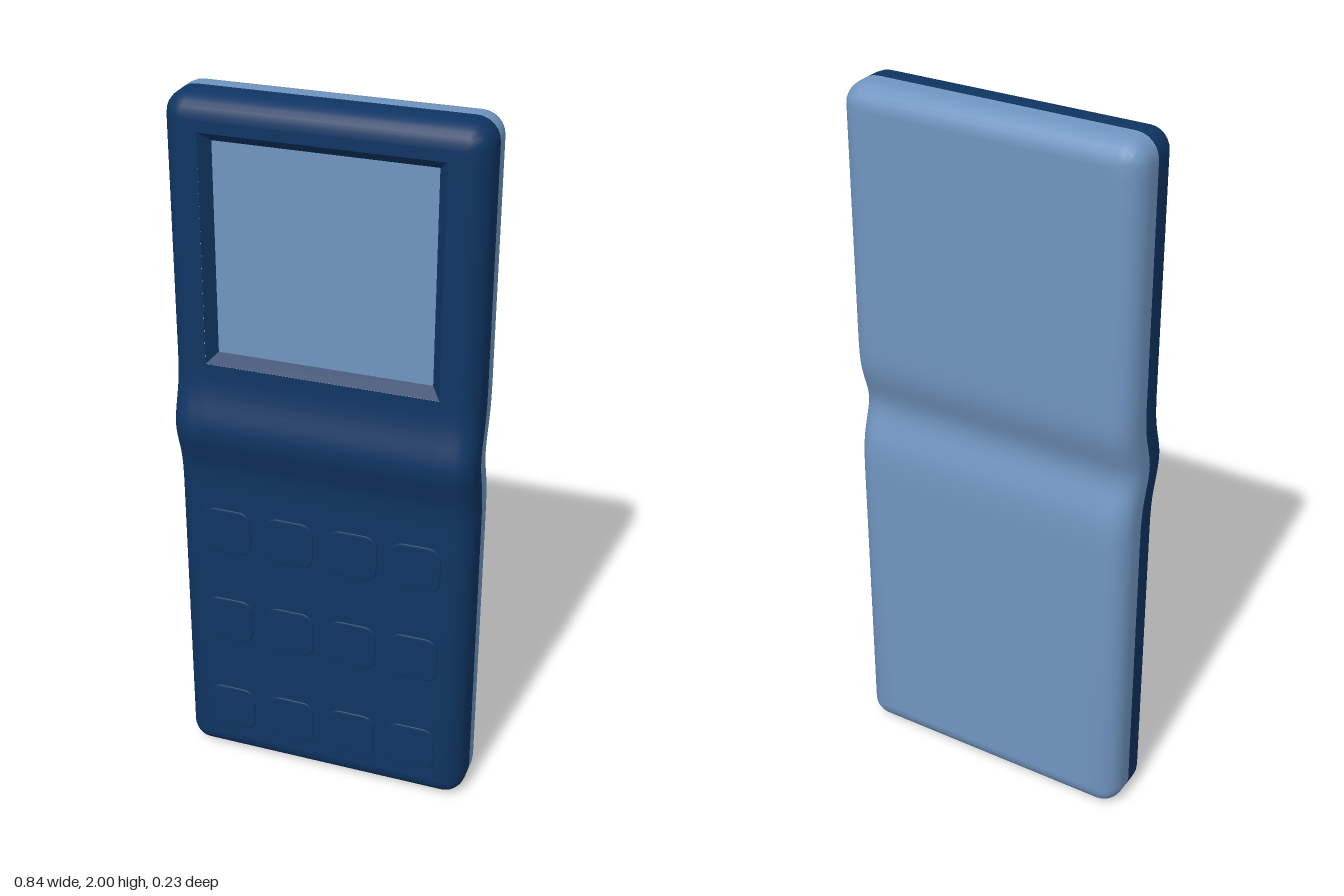
import * as THREE from 'three';
import { toCreasedNormals } from 'three/addons/utils/BufferGeometryUtils.js';

const R = 0.06, CX = 0.36, Y0 = 0.06, Y1 = 1.94, SEAM = -0.02;
const HOLE = { x: 0.32, y0: 1.28, y1: 1.91 };
const FRONT = 0.08, BACK = -0.115;

// Sideways wave across the waist
const bend = (y) => 0.035 * Math.exp(-(((y - 1.09) / 0.09) ** 2));

// Rows up the body, dense around the wave
const rows = [Y0];
for (let i = 0; i <= 21; i++) rows.push(0.86 + i * 0.02);
rows[rows.length - 1] = HOLE.y0;
rows.push(HOLE.y1, Y1);

function meshFrom(name, positions, material, crease = 0.6) {
  let g = new THREE.BufferGeometry();
  g.setAttribute('position', new THREE.Float32BufferAttribute(positions, 3));
  g = toCreasedNormals(g, crease);
  const mesh = new THREE.Mesh(g, material);
  mesh.name = name;
  return mesh;
}

// Core points and outward normals, counter-clockwise seen from the front
function outline() {
  const pts = [];
  const corner = (x, y, start) => {
    for (let i = 0; i <= 6; i++) {
      const a = start + (i / 6) * Math.PI / 2;
      pts.push([x, y, Math.cos(a), Math.sin(a)]);
    }
  };
  const inner = rows.slice(1, -1);
  inner.forEach((y) => pts.push([CX, y, 1, 0]));
  corner(CX, Y1, 0);
  corner(-CX, Y1, Math.PI / 2);
  [...inner].reverse().forEach((y) => pts.push([-CX, y, -1, 0]));
  corner(-CX, Y0, Math.PI);
  corner(CX, Y0, Math.PI * 1.5);
  return pts;
}

// Half of the body: rounded rim plus face, optionally with the screen opening
function shell(name, zFace, withHole, material) {
  const s = Math.sign(zFace - SEAM), pos = [];
  const quad = (a, b, c, d) => {
    const q = s > 0 ? [a, b, c, a, c, d] : [a, c, b, a, d, c];
    q.forEach((p) => pos.push(p[0], p[1], p[2] + bend(p[1])));
  };
  const core = outline();
  const rings = [core.map(([x, y, nx, ny]) => [x + R * nx, y + R * ny, SEAM])];
  for (let k = 0; k <= 6; k++) {
    const f = (k / 6) * Math.PI / 2, r = k === 6 ? 0 : R * Math.cos(f);
    const z = zFace - s * R * (1 - Math.sin(f));
    rings.push(core.map(([x, y, nx, ny]) => [x + r * nx, y + r * ny, z]));
  }
  for (let k = 0; k + 1 < rings.length; k++) {
    for (let i = 0; i < core.length; i++) {
      const j = (i + 1) % core.length;
      quad(rings[k][i], rings[k][j], rings[k + 1][j], rings[k + 1][i]);
    }
  }
  const cols = [-CX, -HOLE.x, HOLE.x, CX];
  for (let i = 0; i + 1 < rows.length; i++) {
    for (let c = 0; c < 3; c++) {
      if (withHole && c === 1 && rows[i] === HOLE.y0) continue;
      quad([cols[c], rows[i], zFace], [cols[c + 1], rows[i], zFace],
        [cols[c + 1], rows[i + 1], zFace], [cols[c], rows[i + 1], zFace]);
    }
  }
  return meshFrom(name, pos, material);
}

// Sloping walls of the screen recess
function bezel(material, inset, zFloor) {
  const rect = (d, z) => [
    [-HOLE.x + d, HOLE.y0 + d, z], [HOLE.x - d, HOLE.y0 + d, z],
    [HOLE.x - d, HOLE.y1 - d, z], [-HOLE.x + d, HOLE.y1 - d, z]];
  const o = rect(0, FRONT), n = rect(inset, zFloor), pos = [];
  for (let i = 0; i < 4; i++) {
    const j = (i + 1) % 4;
    [o[i], o[j], n[j], o[i], n[j], n[i]].forEach((p) => pos.push(...p));
  }
  return meshFrom('screenBezel', pos, material, 0.2);
}

// Rounded square key
function keyGeometry() {
  const h = 0.065, r = 0.03, s = new THREE.Shape();
  s.absarc(h - r, h - r, r, 0, Math.PI / 2);
  s.absarc(-h + r, h - r, r, Math.PI / 2, Math.PI);
  s.absarc(-h + r, -h + r, r, Math.PI, Math.PI * 1.5);
  s.absarc(h - r, -h + r, r, Math.PI * 1.5, Math.PI * 2);
  return new THREE.ExtrudeGeometry(s, {
    depth: 0.004, curveSegments: 5, bevelEnabled: true,
    bevelThickness: 0.003, bevelSize: 0.005, bevelSegments: 2,
  });
}

export function createModel() {
  const navy = new THREE.MeshStandardMaterial({ color: 0x0f3563 });
  navy.name = 'navy casing';
  const paleBlue = new THREE.MeshStandardMaterial({ color: 0x7095c0 });
  paleBlue.name = 'pale blue';

  const group = new THREE.Group();
  group.name = 'handset';
  group.add(shell('frontShell', FRONT, true, navy));
  group.add(shell('backShell', BACK, false, paleBlue));

  // Recessed screen
  const inset = 0.026, floor = 0.05;
  group.add(bezel(navy, inset, floor));
  const screen = new THREE.Mesh(
    new THREE.BoxGeometry(2 * (HOLE.x - inset), HOLE.y1 - HOLE.y0 - 2 * inset, 0.008), paleBlue);
  screen.name = 'screen';
  screen.position.set(0, (HOLE.y0 + HOLE.y1) / 2, floor - 0.004);
  group.add(screen);

  // Keypad
  const keypad = new THREE.Group();
  keypad.name = 'keypad';
  const geometry = keyGeometry();
  for (const y of [0.77, 0.475, 0.165]) {
    for (const x of [-0.275, -0.092, 0.091, 0.27]) {
      const key = new THREE.Mesh(geometry, navy);
      key.name = 'key';
      key.position.set(x, y, FRONT - 0.003);
      keypad.add(key);
    }
  }
  group.add(keypad);
  return group;
}
